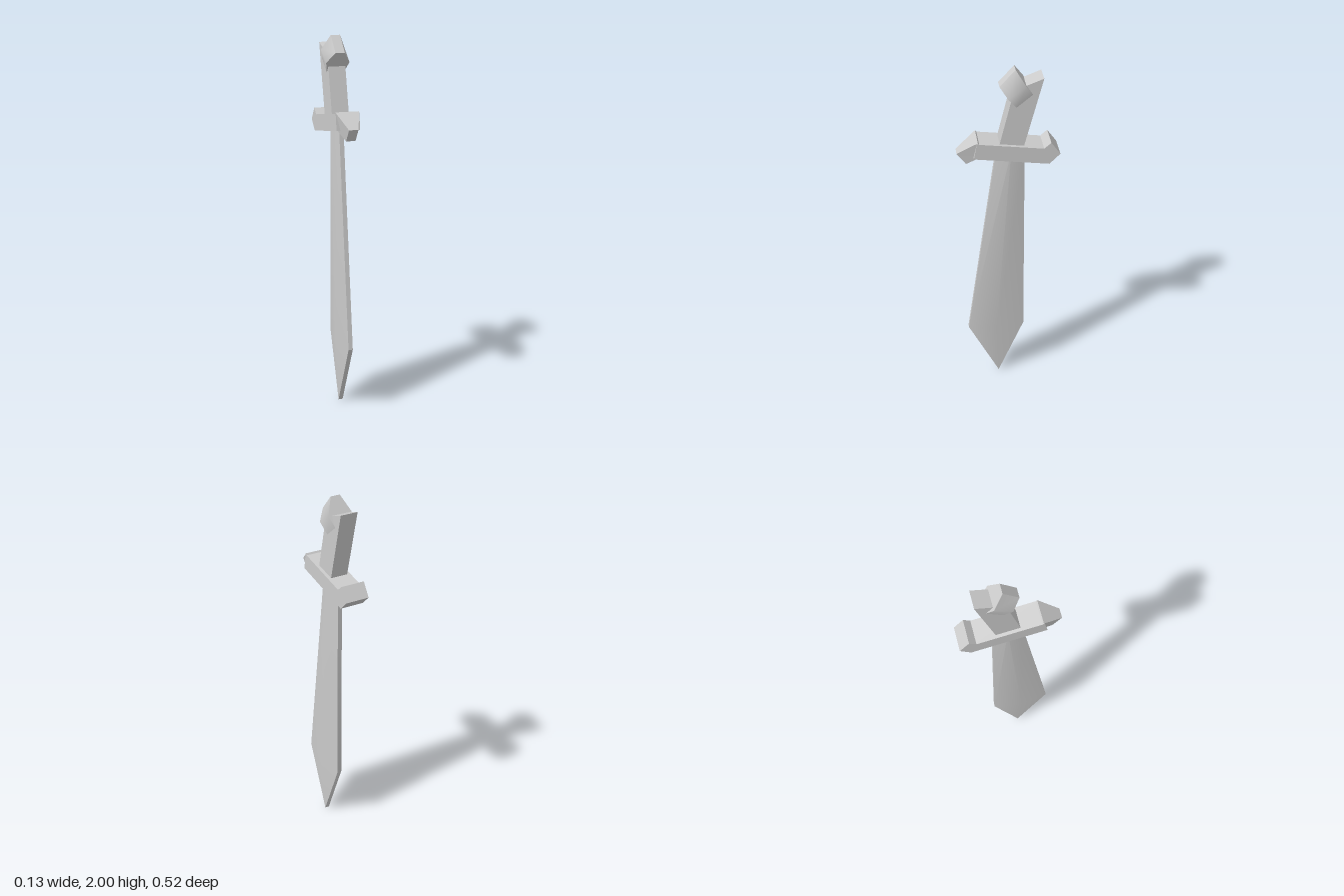
import * as THREE from 'three';
import { toCreasedNormals } from 'three/addons/utils/BufferGeometryUtils.js';

const grey = new THREE.MeshStandardMaterial({ color: 0xcccccc });

// Skins a list of equal-length rings and closes both ends.
function loft(name, rings, crease = 0.3) {
  const positions = [];
  const tri = (a, b, c) => {
    const area = new THREE.Triangle(...[a, b, c].map((p) => new THREE.Vector3(...p))).getArea();
    if (area > 1e-7) positions.push(...a, ...b, ...c);
  };
  const n = rings[0].length;
  for (let r = 0; r < rings.length - 1; r++) {
    const a = rings[r], b = rings[r + 1];
    for (let i = 0; i < n; i++) {
      const j = (i + 1) % n;
      tri(a[i], a[j], b[j]);
      tri(a[i], b[j], b[i]);
    }
  }
  const first = rings[0], last = rings[rings.length - 1];
  for (let i = 1; i < n - 1; i++) {
    tri(first[0], first[i + 1], first[i]);
    tri(last[0], last[i], last[i + 1]);
  }
  const geometry = new THREE.BufferGeometry();
  geometry.setAttribute('position', new THREE.Float32BufferAttribute(positions, 3));
  const mesh = new THREE.Mesh(toCreasedNormals(geometry, crease), grey);
  mesh.name = name;
  return mesh;
}

// Rectangular ring from a front and a back point, each [z, y], of half width w.
const quad = ([zf, yf], [zb, yb], w) => [
  [w, yf, zf], [w, yb, zb], [-w, yb, zb], [-w, yf, zf],
];

// Six-sided blade ring: blunt front and back edges with a ridge between them.
function bladeRing([zf, yf], [zb, yb], ridge) {
  const edge = 0.012, zm = (zf + zb) / 2, ym = (yf + yb) / 2;
  return [
    [edge, yf, zf], [ridge, ym, zm], [edge, yb, zb],
    [-edge, yb, zb], [-ridge, ym, zm], [-edge, yf, zf],
  ];
}

export function createModel() {
  const model = new THREE.Group();
  model.name = 'sword';

  // Blade, widening toward the point
  model.add(loft('blade', [
    bladeRing([0.055, 0], [0.055, 0], 0.012),
    bladeRing([0.225, 0.365], [-0.09, 0.365], 0.035),
    bladeRing([0.058, 1.56], [-0.085, 1.54], 0.035),
  ], 0.5));

  // Slanted crossguard with a tapered front tip and a square back tip
  const guard = new THREE.Group();
  guard.name = 'crossguard';
  guard.add(
    loft('guardBar', [
      quad([0.177, 1.54], [-0.204, 1.48], 0.063),
      quad([0.161, 1.625], [-0.19, 1.57], 0.063),
    ]),
    loft('guardFrontTip', [
      quad([0.105, 1.565], [0.156, 1.632], 0.063),
      quad([0.214, 1.492], [0.26, 1.556], 0.025),
    ]),
    loft('guardBackTip', [
      quad([-0.15, 1.55], [-0.205, 1.481], 0.063),
      quad([-0.211, 1.603], [-0.259, 1.535], 0.063),
    ]),
  );
  model.add(guard);

  // Grip leaning back
  model.add(loft('grip', [
    quad([0.055, 1.57], [-0.067, 1.55], 0.046),
    quad([-0.025, 1.9], [-0.17, 1.955], 0.046),
  ]));

  // Faceted pommel, widest in the middle
  model.add(loft('pommel', [
    quad([-0.04, 1.805], [-0.12, 1.87], 0.045),
    quad([0.005, 1.863], [-0.083, 1.925], 0.063),
    quad([0.043, 1.915], [-0.035, 2], 0.025),
  ], 0.9));

  return model;
}
